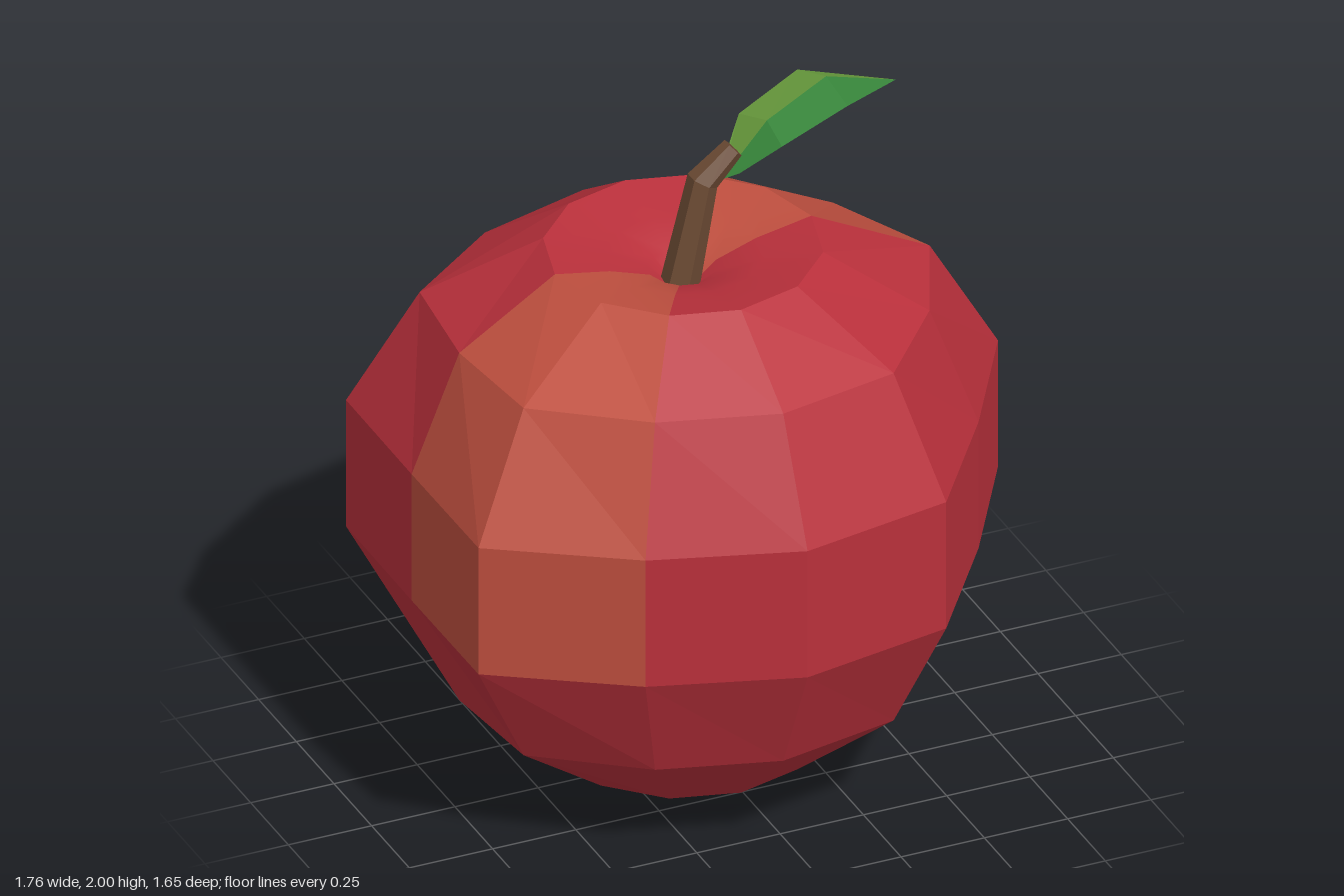
import * as THREE from 'three';

const CX = -0.065; // core axis of the fruit

// Half outlines [x, z] from +x round to -x, mirrored to the back
const closeRing = (half) => [...half, ...half.slice(1, -1).reverse().map(([x, z]) => [x, -z])];
const WIDE = closeRing([[0.88, 0], [0.65, 0.38], [0.39, 0.74], [CX, 0.826], [-0.49, 0.69], [-0.878, 0.44], [-0.88, 0]]);
const SHOULDER = closeRing([[0.675, 0], [0.53, 0.32], [0.3, 0.59], [CX, 0.665], [-0.405, 0.565], [-0.7, 0.345], [-0.737, 0]]);
const circle = (r) => Array.from({ length: 12 }, (_, i) => {
  const a = i * Math.PI / 6;
  return [CX + r * Math.cos(a), r * Math.sin(a)];
});
const RIM = circle(0.385);

function mat(color, extra = {}) {
  return new THREE.MeshStandardMaterial({ color, flatShading: true, ...extra });
}

function mesh(name, points, index, material) {
  const g = new THREE.BufferGeometry();
  g.setAttribute('position', new THREE.Float32BufferAttribute(points.flat(), 3));
  g.setIndex(index);
  g.computeVertexNormals();
  const m = new THREE.Mesh(g, material);
  m.name = name;
  return m;
}

// Join rings, ordered bottom to top on the outside, for the chosen sectors
function skin(name, rings, sectors, material) {
  const n = rings[0].length, index = [];
  for (let r = 0; r < rings.length - 1; r++) {
    for (const j of sectors) {
      const k = (j + 1) % n, lo = r * n, hi = lo + n;
      index.push(lo + j, hi + j, hi + k, lo + j, hi + k, lo + k);
    }
  }
  return mesh(name, rings.flat(), index, material);
}

export function createModel() {
  const model = new THREE.Group();
  model.name = 'apple';
  const red = 0xb9303b, blush = 0xbf4f3f;
  const at = (ring, y) => ring.map(([x, z]) => [x, y, z]);

  // Fruit skin: lower half all red, upper half with two blushed patches
  const all = [...Array(12).keys()];
  const blushed = [4, 5, 10, 11];
  const plain = all.filter((j) => !blushed.includes(j));
  const lower = [at(circle(0), 0.005), at(RIM, 0.09), at(SHOULDER, 0.34), at(WIDE, 0.69)];
  const upper = [at(WIDE, 0.69), at(WIDE, 1.09), at(SHOULDER, 1.44), at(RIM, 1.62)];
  model.add(skin('lowerSkin', lower, all, mat(red)));
  model.add(skin('upperSkin', upper, plain, mat(red)));
  model.add(skin('blushPatches', upper, blushed, mat(blush)));

  // Smooth hollow around the stem
  const hollow = [[0.385, 1.62], [0.22, 1.59], [0.1, 1.55], [0.002, 1.47]].map(([r, y]) => at(circle(r), y));
  model.add(skin('hollow', hollow, plain, mat(red, { flatShading: false })));
  model.add(skin('hollowBlush', hollow, blushed, mat(blush, { flatShading: false })));

  // Bent six-sided stem: [x, y, radius, tilt]
  const stemRings = [[-0.075, 1.5, 0.055, 0.2], [-0.007, 1.81, 0.045, 0.5], [0.085, 1.892, 0.032, 0.85]].map(([x, y, r, tilt]) =>
    Array.from({ length: 6 }, (_, i) => {
      const a = i * Math.PI / 3 + Math.PI / 6, u = r * Math.cos(a);
      return [x + u * Math.cos(tilt), y - u * Math.sin(tilt), r * Math.sin(a)];
    }));
  const stem = skin('stem', stemRings, [0, 1, 2, 3, 4, 5], mat(0x6b4a33));
  const tip = mesh('stemTip', stemRings[2], [0, 2, 1, 0, 3, 2, 0, 4, 3, 0, 5, 4], mat(0x6b4a33));
  model.add(stem, tip);

  // Leaf folded along its midrib, one shade of green per half
  const rib = [[0.05, 1.8, 0], [0.2, 1.935, -0.03], [0.4, 2, -0.08], [0.63, 1.91, -0.125]];
  const halves = {
    leafBack: [0x6a9e3e, [[0.06, 1.81, -0.03], [0.17, 1.9, -0.15], [0.37, 1.962, -0.205]]],
    leafFront: [0x37853a, [[0.09, 1.825, 0.03], [0.2, 1.905, 0.07], [0.41, 1.967, 0.04]]],
  };
  for (const [name, [color, edge]] of Object.entries(halves)) {
    const index = [0, 1, 5, 0, 5, 4, 1, 2, 6, 1, 6, 5, 2, 3, 6];
    if (name === 'leafFront') index.reverse();
    model.add(mesh(name, [...rib, ...edge], index, mat(color, { side: THREE.DoubleSide })));
  }
  return model;
}
